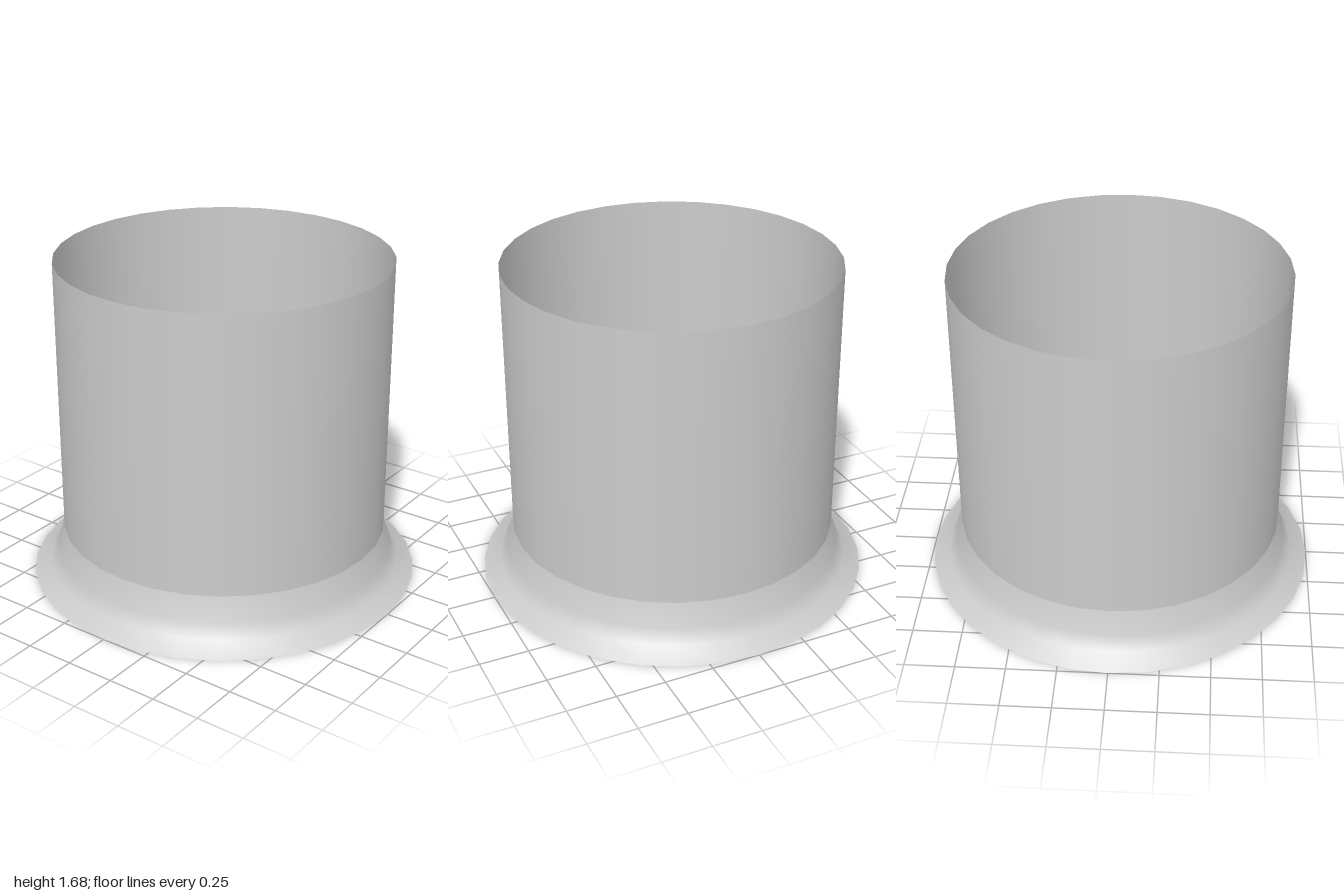
import * as THREE from 'three';

const SIDES = 32;

export function createModel() {
  const group = new THREE.Group();
  const material = new THREE.MeshStandardMaterial({ color: 0xcccccc, side: THREE.DoubleSide });

  // Revolve a [radius, height] profile, listed from bottom to top
  const addRevolved = (name, profile) => {
    const points = profile.map(([r, y]) => new THREE.Vector2(r, y));
    const mesh = new THREE.Mesh(new THREE.LatheGeometry(points, SIDES), material);
    mesh.name = name;
    group.add(mesh);
  };

  // Thin open pipe running the full height
  addRevolved('pipe', [[0.838, 0], [0.838, 1.68]]);

  // Flared skirt around the foot, open underneath
  addRevolved('flaredSkirt', [[1, 0], [0.912, 0.06], [0.874, 0.128], [0.838, 0.255]]);

  return group;
}
